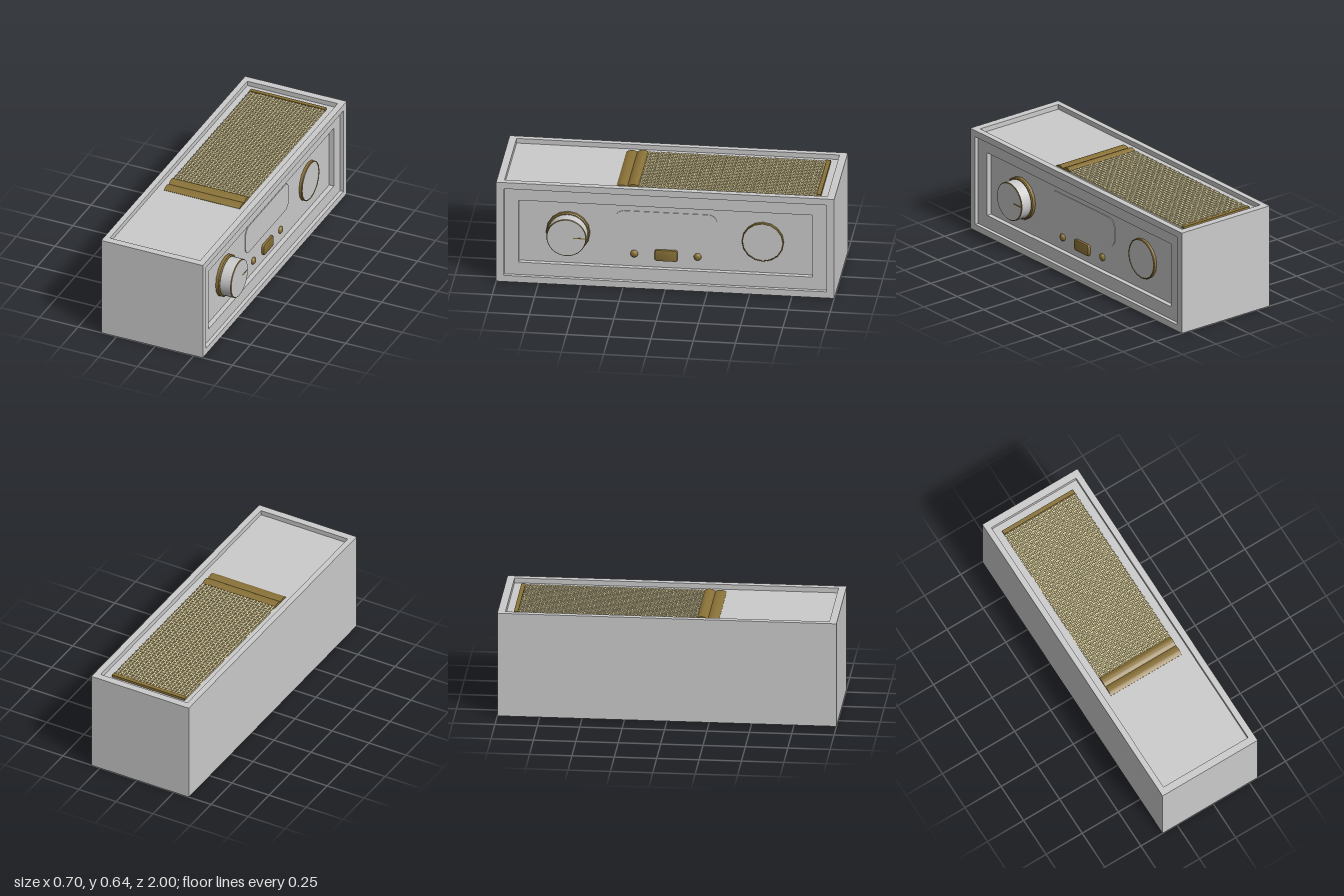
import * as THREE from 'three';
import { toCreasedNormals } from 'three/addons/utils/BufferGeometryUtils.js';

const grey = new THREE.MeshStandardMaterial({ color: 0xcccccc });
const gold = new THREE.MeshStandardMaterial({ color: 0x8a7238 });
const cream = new THREE.MeshStandardMaterial({ color: 0xeedfa8 });

function add(parent, name, geometry, material, x = 0, y = 0, z = 0) {
  const mesh = new THREE.Mesh(geometry, material);
  mesh.name = name;
  mesh.position.set(x, y, z);
  parent.add(mesh);
  return mesh;
}

// Box given by its minimum and maximum corners
function block(parent, name, material, x0, x1, y0, y1, z0, z1) {
  return add(parent, name, new THREE.BoxGeometry(x1 - x0, y1 - y0, z1 - z0), material,
    (x0 + x1) / 2, (y0 + y1) / 2, (z0 + z1) / 2);
}

function rect(path, x0, x1, y0, y1) {
  return path.moveTo(x0, y0).lineTo(x1, y0).lineTo(x1, y1).lineTo(x0, y1).closePath();
}

// Rectangular frame extruded along z; outer and hole are [x0, x1, y0, y1]
function frame(outer, hole, depth) {
  const shape = rect(new THREE.Shape(), ...outer);
  shape.holes.push(rect(new THREE.Path(), ...hole));
  return new THREE.ExtrudeGeometry(shape, { depth, bevelEnabled: false });
}

// Rounded plate centred on its origin, extruded along z
function roundedPlate(w, h, r, depth, bevel) {
  const s = new THREE.Shape();
  const x = w / 2 - bevel, y = h / 2 - bevel;
  s.absarc(x - r, y - r, r, 0, Math.PI / 2);
  s.absarc(-x + r, y - r, r, Math.PI / 2, Math.PI);
  s.absarc(-x + r, -y + r, r, Math.PI, Math.PI * 1.5);
  s.absarc(x - r, -y + r, r, Math.PI * 1.5, Math.PI * 2);
  s.closePath();
  return toCreasedNormals(new THREE.ExtrudeGeometry(s, {
    depth, curveSegments: 6, bevelEnabled: bevel > 0,
    bevelSize: bevel, bevelThickness: bevel, bevelSegments: 2,
  }), 0.6);
}

// Turned part whose axis points along z; points are [radius, height]
function turned(points, sides = 16) {
  const g = new THREE.LatheGeometry(points.map(p => new THREE.Vector2(...p)), sides);
  return toCreasedNormals(g.rotateX(Math.PI / 2), 0.6);
}

// Wire passing over and under its crossing neighbours
function wire(length, crossings, phase, amp, radius, alongX) {
  const curve = new THREE.Curve();
  curve.getPoint = (t, target = new THREE.Vector3()) => {
    const s = (t - 0.5) * length;
    const h = amp * Math.sin(t * crossings * Math.PI + phase);
    return alongX ? target.set(s, h, 0) : target.set(0, h, s);
  };
  curve.getPointAt = curve.getPoint;
  curve.getTangentAt = curve.getTangent;
  return new THREE.TubeGeometry(curve, crossings * 2, radius, 5);
}

export function createModel() {
  const model = new THREE.Group();
  model.name = 'tabletopRadio';

  // Case and the raised rim around the sunken top
  block(model, 'case', grey, -0.35, 0.255, 0, 0.61, -1, 1);
  const rim = frame([-0.35, 0.308, -1, 1], [-0.315, 0.27, -0.955, 0.955], 0.03);
  add(model, 'topRim', rim.rotateX(-Math.PI / 2), grey, 0, 0.61, 0);

  // Control side: local x runs along the case, local z points outward
  const face = new THREE.Group();
  face.name = 'controlSide';
  face.rotation.y = Math.PI / 2;
  model.add(face);
  add(face, 'innerFrame', frame([-1, 1, 0, 0.61], [-0.87, 0.87, 0.12, 0.52], 0.03),
    grey, 0, 0, 0.255);
  add(face, 'outerFrame', frame([-1, 1, 0, 0.61], [-0.955, 0.955, 0.04, 0.6], 0.023),
    grey, 0, 0, 0.285);
  add(face, 'displayWindow', roundedPlate(0.6, 0.18, 0.05, 0.004, 0), grey, 0, 0.385, 0.255);

  // Volume knob with base collar, edge trim and pointer
  const knob = new THREE.Group();
  knob.name = 'volumeKnob';
  knob.position.set(-0.58, 0.322, 0.255);
  face.add(knob);
  add(knob, 'knobCollar', turned([[0, 0], [0.13, 0], [0.13, 0.018], [0.124, 0.024], [0, 0.024]]), gold);
  add(knob, 'knobBody', turned([[0.118, 0.02], [0.118, 0.089]], 32), grey);
  add(knob, 'knobTrim', turned([[0.118, 0.089], [0.118, 0.092], [0.115, 0.095], [0.113, 0.095]], 32), gold);
  add(knob, 'knobCap', turned([[0.113, 0.095], [0, 0.095]], 32), grey);
  block(knob, 'knobPointer', gold, 0.04, 0.113, -0.003, 0.003, 0.09, 0.097);

  // Flat dial with a thin ring
  const dial = new THREE.Group();
  dial.name = 'dial';
  dial.position.set(0.572, 0.322, 0.255);
  face.add(dial);
  add(dial, 'dialDisc', turned([[0.118, 0], [0.118, 0.017], [0, 0.017]]), grey);
  add(dial, 'dialRing', turned([[0.124, 0], [0.124, 0.016], [0.121, 0.02], [0.117, 0.02], [0.117, 0.016]]), gold);

  // Push buttons
  add(face, 'centreButton', roundedPlate(0.135, 0.07, 0.01, 0.012, 0.004), gold, 0, 0.2, 0.255);
  for (const x of [-0.19, 0.185]) {
    const button = add(face, 'roundButton', new THREE.SphereGeometry(0.023, 12, 8), gold, x, 0.2, 0.257);
    button.scale.z = 0.7;
  }

  // Woven speaker grille
  const grille = new THREE.Group();
  grille.name = 'speakerGrille';
  grille.position.set(-0.025, 0.618, -0.3575);
  model.add(grille);
  const width = 0.49, length = 1.055, across = 23, along = 50;
  for (let i = 0; i < along; i++) {
    add(grille, 'crossWire', wire(width, across, (i % 2) * Math.PI, 0.003, 0.006, true),
      cream, 0, 0, ((i + 0.5) / along - 0.5) * length);
  }
  for (let i = 0; i < across; i++) {
    add(grille, 'longWire', wire(length, along, (i % 2 + 1) * Math.PI, 0.003, 0.006, false),
      cream, ((i + 0.5) / across - 0.5) * width, 0, 0);
  }
  block(model, 'grilleBacking', cream, -0.27, 0.22, 0.605, 0.613, -0.885, 0.17);

  // End bar and double-ridged front bar of the grille
  block(model, 'grilleEndBar', gold, -0.27, 0.22, 0.605, 0.626, -0.91, -0.885);
  const ridges = new THREE.Shape();
  ridges.moveTo(-0.3, 0.605).lineTo(-0.3, 0.612);
  ridges.quadraticCurveTo(-0.27, 0.634, -0.235, 0.616);
  ridges.quadraticCurveTo(-0.2, 0.642, -0.17, 0.62);
  ridges.lineTo(-0.17, 0.605).closePath();
  const bar = new THREE.ExtrudeGeometry(ridges, { depth: 0.49, bevelEnabled: false, curveSegments: 8 });
  const frontBar = add(model, 'grilleFrontBar', toCreasedNormals(bar, 0.5), gold, -0.27, 0, 0);
  frontBar.rotation.y = Math.PI / 2;

  return model;
}
